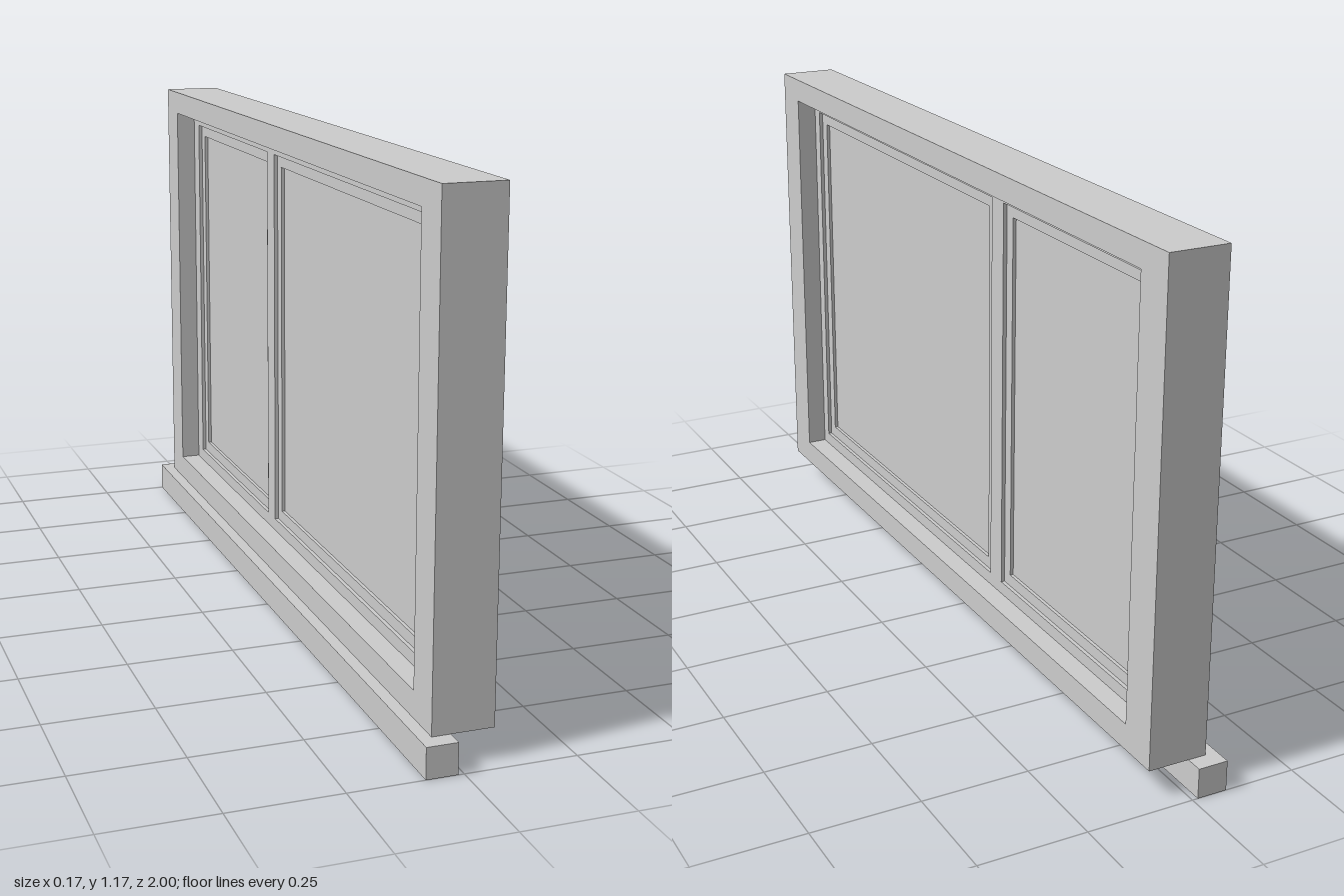
import * as THREE from 'three';

const material = new THREE.MeshStandardMaterial({ color: 0xcccccc, flatShading: true });
const CENTRE_X = 0.014; // mid-plane of the window's thickness

// Rectangles are [u0, y0, u1, y1], where u runs along -z
function tracePath(path, [u0, y0, u1, y1]) {
  path.moveTo(u0, y0);
  path.lineTo(u1, y0);
  path.lineTo(u1, y1);
  path.lineTo(u0, y1);
  path.closePath();
  return path;
}

// Flat panel with rectangular holes, standing in the z-y plane
function panel(name, outer, holes, thickness) {
  const shape = tracePath(new THREE.Shape(), outer);
  for (const hole of holes) shape.holes.push(tracePath(new THREE.Path(), hole));
  const geometry = new THREE.ExtrudeGeometry(shape, { depth: thickness, bevelEnabled: false });
  geometry.translate(0, 0, -thickness / 2);
  geometry.rotateY(Math.PI / 2);
  geometry.translate(CENTRE_X, 0, 0);
  const mesh = new THREE.Mesh(geometry, material);
  mesh.name = name;
  return mesh;
}

const inset = ([u0, y0, u1, y1], d) => [u0 + d, y0 + d, u1 - d, y1 - d];

export function createModel() {
  const group = new THREE.Group();
  group.name = 'window';

  // Deep surround
  const opening = [-0.865, 0.13, 0.865, 1.118];
  group.add(panel('surround', [-0.96, 0.07, 0.96, 1.175], [opening], 0.138));

  // Thin fixed frame with an off-centre mullion
  const bays = { large: [-0.835, 0.16, 0.165, 1.088], small: [0.22, 0.16, 0.82, 1.088] };
  group.add(panel('fixedFrame', opening, Object.values(bays), 0.042));

  // A sash and a pane in each bay
  for (const [size, bay] of Object.entries(bays)) {
    const glass = inset(bay, 0.028);
    group.add(panel(`${size}Sash`, bay, [glass], 0.024));
    group.add(panel(`${size}Pane`, glass, [], 0.008));
  }

  // Projecting sill below the surround
  const sill = new THREE.Mesh(new THREE.BoxGeometry(0.07, 0.07, 2), material);
  sill.position.set(-0.048, 0.035, 0);
  sill.name = 'sill';
  group.add(sill);

  return group;
}
